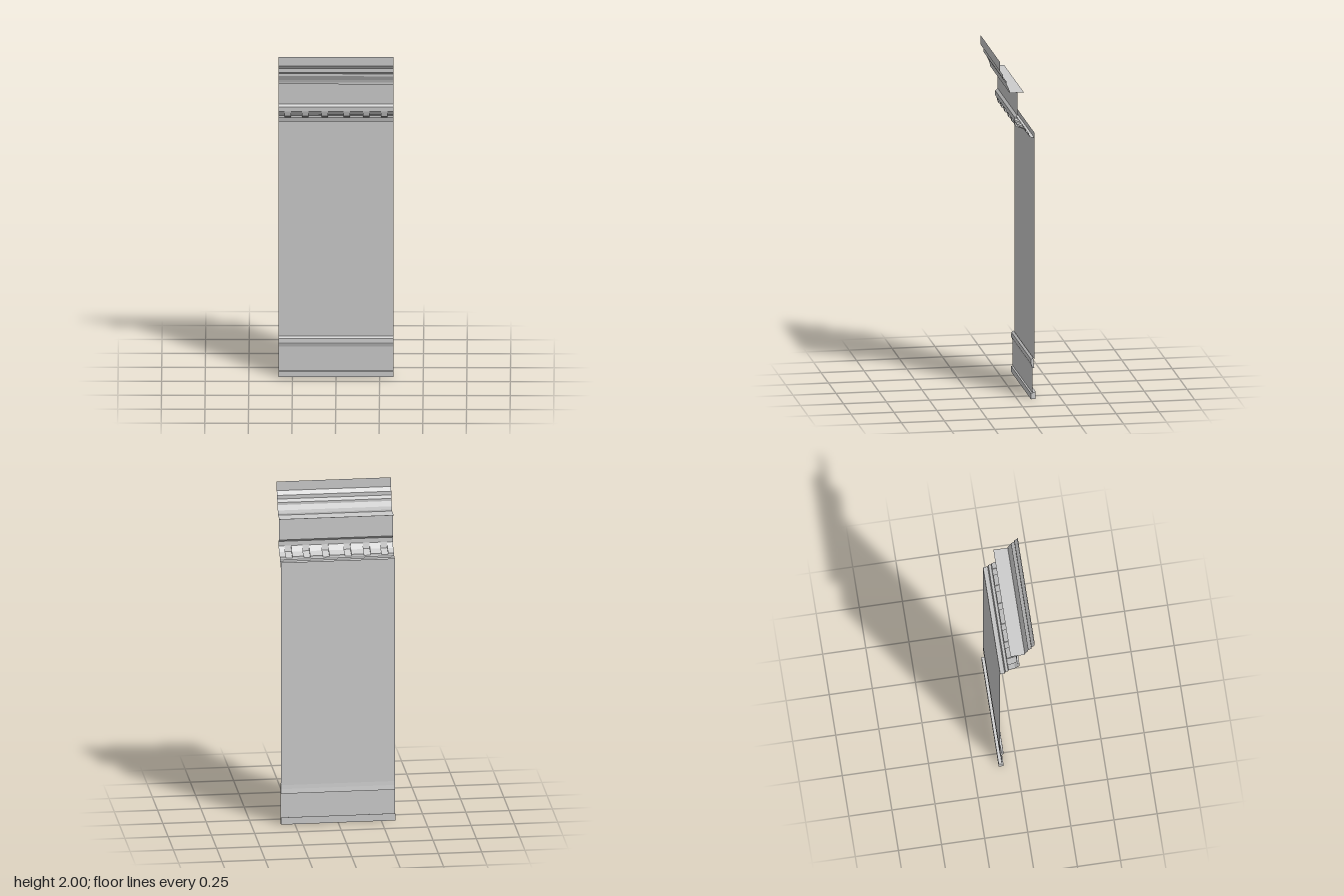
import * as THREE from 'three';

const HALF = 0.33; // half of the panel width

export function createModel() {
  const model = new THREE.Group();
  model.name = 'wallPanel';
  const solidMat = new THREE.MeshStandardMaterial({ color: 0xcccccc, flatShading: true });
  const sheetMat = new THREE.MeshStandardMaterial({ color: 0xcccccc, flatShading: true, side: THREE.DoubleSide });

  const add = (name, geometry, material, parent = model) => {
    const mesh = new THREE.Mesh(geometry, material);
    mesh.name = name;
    parent.add(mesh);
  };
  const outline = (points) => new THREE.Shape(points.map(([z, y]) => new THREE.Vector2(z, y)));

  // Open sheet: a [z, y] profile, listed top to bottom, swept along x
  const sheet = (name, profile, x0 = -HALF, x1 = HALF, parent = model) => {
    const pos = [];
    for (let i = 0; i < profile.length - 1; i++) {
      const [za, ya] = profile[i], [zb, yb] = profile[i + 1];
      pos.push(x0, ya, za, x0, yb, zb, x1, yb, zb, x0, ya, za, x1, yb, zb, x1, ya, za);
    }
    const geometry = new THREE.BufferGeometry();
    geometry.setAttribute('position', new THREE.Float32BufferAttribute(pos, 3));
    geometry.computeVertexNormals();
    add(name, geometry, sheetMat, parent);
  };

  // Closed bar: a [z, y] outline swept over the full width
  const bar = (name, points) => {
    const geometry = new THREE.ExtrudeGeometry(outline(points), { depth: 2 * HALF, bevelEnabled: false });
    geometry.translate(0, 0, -HALF).rotateY(-Math.PI / 2);
    add(name, geometry, solidMat);
  };

  // Flat panels and lower trims
  bar('baseboard', [[-0.105, 0], [-0.077, 0], [-0.077, 0.034], [-0.105, 0.043]]);
  sheet('lowerPanel', [[-0.086, 0.19], [-0.086, 0.035]]);
  bar('chairRail', [[-0.097, 0.183], [-0.086, 0.183], [-0.081, 0.2], [-0.076, 0.21],
    [-0.078, 0.235], [-0.09, 0.245], [-0.093, 0.21]]);
  sheet('mainPanel', [[-0.097, 1.575], [-0.097, 0.235]]);

  // Upper cornice with its shelf running back behind the frieze
  sheet('cornice', [[0.103, 2], [0.103, 1.945], [0.085, 1.922], [0.085, 1.9], [0.066, 1.885],
    [0.066, 1.87], [0.052, 1.842], [0.047, 1.825], [0.047, 1.815], [-0.036, 1.815]]);
  sheet('frieze', [[0.002, 1.815], [0.002, 1.68]]);
  sheet('friezeMoulding', [[0.002, 1.68], [0.016, 1.667], [0.016, 1.64]]);
  sheet('lowerMoulding', [[-0.048, 1.585], [-0.05, 1.577], [-0.065, 1.573],
    [-0.07, 1.55], [-0.086, 1.546], [-0.097, 1.545]]);

  // Sloped soffit broken by hollow dentils
  const dentils = new THREE.Group();
  dentils.name = 'dentilBand';
  model.add(dentils);
  const soffit = [[0.016, 1.64], [-0.01, 1.611], [-0.048, 1.594], [-0.048, 1.585]];
  const tooth = [[0.016, 1.64], [0.007, 1.608], [-0.048, 1.585]];
  const cheek = new THREE.ShapeGeometry(outline([...soffit, ...tooth.slice(1, -1).reverse()]));
  cheek.rotateY(-Math.PI / 2);
  let x = -HALF;
  for (const centre of [-0.277, -0.176, -0.065, 0.062, 0.173, 0.276]) {
    const left = centre - 0.019, right = centre + 0.019;
    sheet('soffit', soffit, x, left, dentils);
    sheet('dentil', tooth, left, right, dentils);
    for (const side of [left, right]) add('dentilCheek', cheek.clone().translate(side, 0, 0), sheetMat, dentils);
    x = right;
  }
  sheet('soffit', soffit, x, HALF, dentils);

  return model;
}
